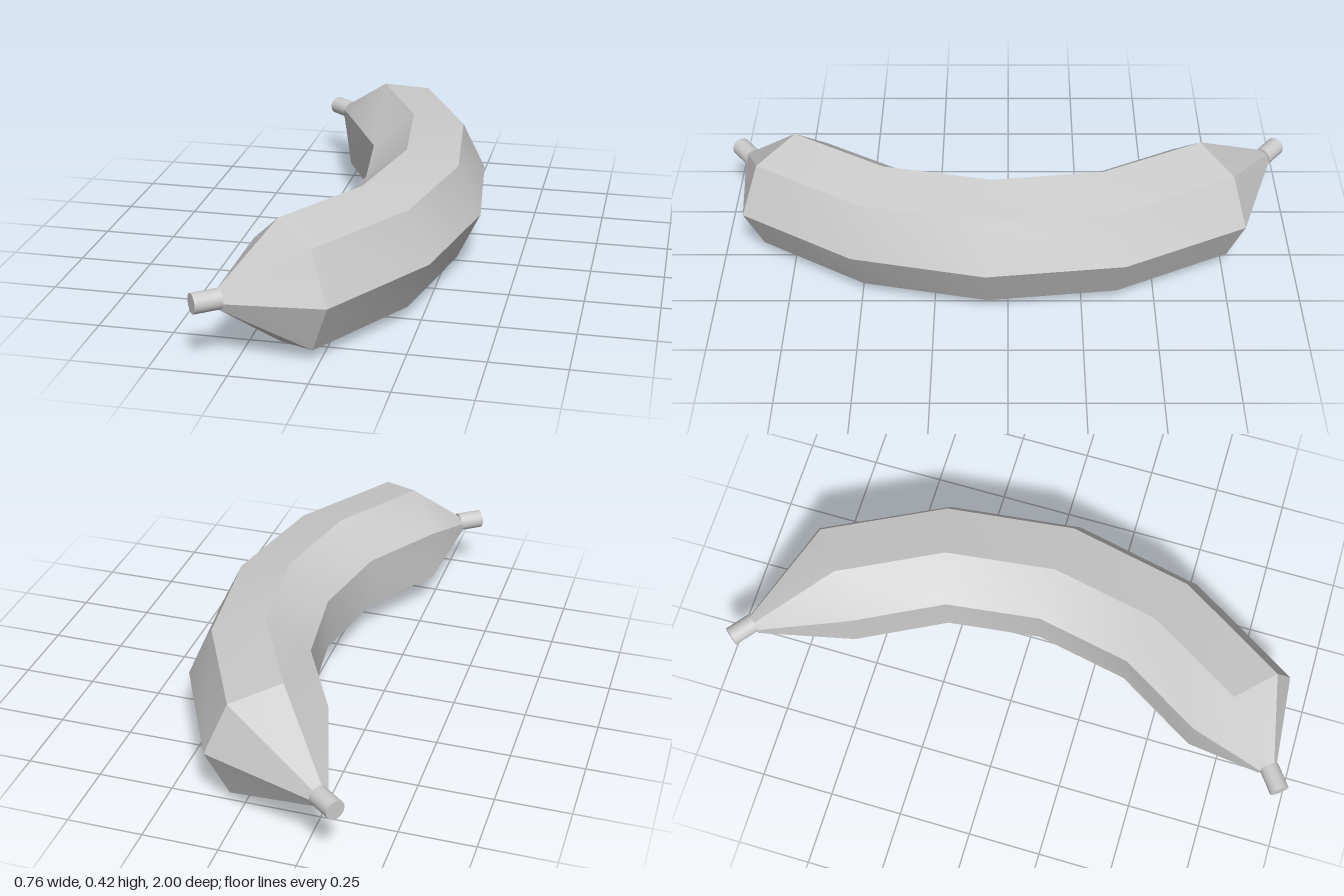
import * as THREE from 'three';
import { toCreasedNormals } from 'three/addons/utils/BufferGeometryUtils.js';

const SIDES = 7;
const MID_Y = 0.209;

// Cross-sections from back to front: centre x, centre z, outward angle (degrees), radius
const RINGS = [
  [-0.3, -0.915, -53, 0.033],
  [-0.064, -0.69, -35.2, 0.2135],
  [0.115, -0.335, -15.8, 0.2135],
  [0.162, 0.058, 4.8, 0.2135],
  [0.083, 0.442, 23.4, 0.2135],
  [-0.118, 0.772, 42.5, 0.2135],
  [-0.297, 0.917, 55, 0.033],
];

function bodyGeometry() {
  const positions = [];
  const index = [];
  for (const [cx, cz, deg, r] of RINGS) {
    const t = THREE.MathUtils.degToRad(deg);
    for (let k = 0; k < SIDES; k++) {
      const a = (k / SIDES) * Math.PI * 2;
      const out = r * Math.cos(a);
      positions.push(cx + out * Math.cos(t), MID_Y + r * Math.sin(a), cz + out * Math.sin(t));
    }
  }
  const last = (RINGS.length - 1) * SIDES;
  for (let i = 0; i < last; i += SIDES) {
    for (let k = 0; k < SIDES; k++) {
      const a = i + k;
      const b = i + ((k + 1) % SIDES);
      index.push(a, b, b + SIDES, a, b + SIDES, a + SIDES);
    }
  }
  // Close both ends
  for (let k = 1; k < SIDES - 1; k++) {
    index.push(0, k + 1, k, last, last + k, last + k + 1);
  }
  const geometry = new THREE.BufferGeometry();
  geometry.setAttribute('position', new THREE.Float32BufferAttribute(positions, 3));
  geometry.setIndex(index);
  return toCreasedNormals(geometry, THREE.MathUtils.degToRad(30));
}

// Short round stub whose outer cap is centred on `end`
function stub(name, end, direction, material) {
  const length = 0.09;
  const dir = direction.normalize();
  const mesh = new THREE.Mesh(new THREE.CylinderGeometry(0.033, 0.033, length, 24), material);
  mesh.name = name;
  mesh.quaternion.setFromUnitVectors(new THREE.Vector3(0, 1, 0), dir);
  mesh.position.copy(end).addScaledVector(dir, -length / 2);
  return mesh;
}

export function createModel() {
  const group = new THREE.Group();
  group.name = 'banana';
  const material = new THREE.MeshStandardMaterial({ color: 0xcccccc });

  // Curved seven-sided fruit tapering to both tips
  const body = new THREE.Mesh(bodyGeometry(), material);
  body.name = 'fruitBody';
  group.add(body);

  // Stubs at the two tips
  group.add(
    stub('frontStub', new THREE.Vector3(-0.362, 0.216, 0.973), new THREE.Vector3(-0.8, 0, 0.6), material),
    stub('backStub', new THREE.Vector3(-0.364, 0.216, -0.973), new THREE.Vector3(-0.78, 0, -0.62), material),
  );
  return group;
}
